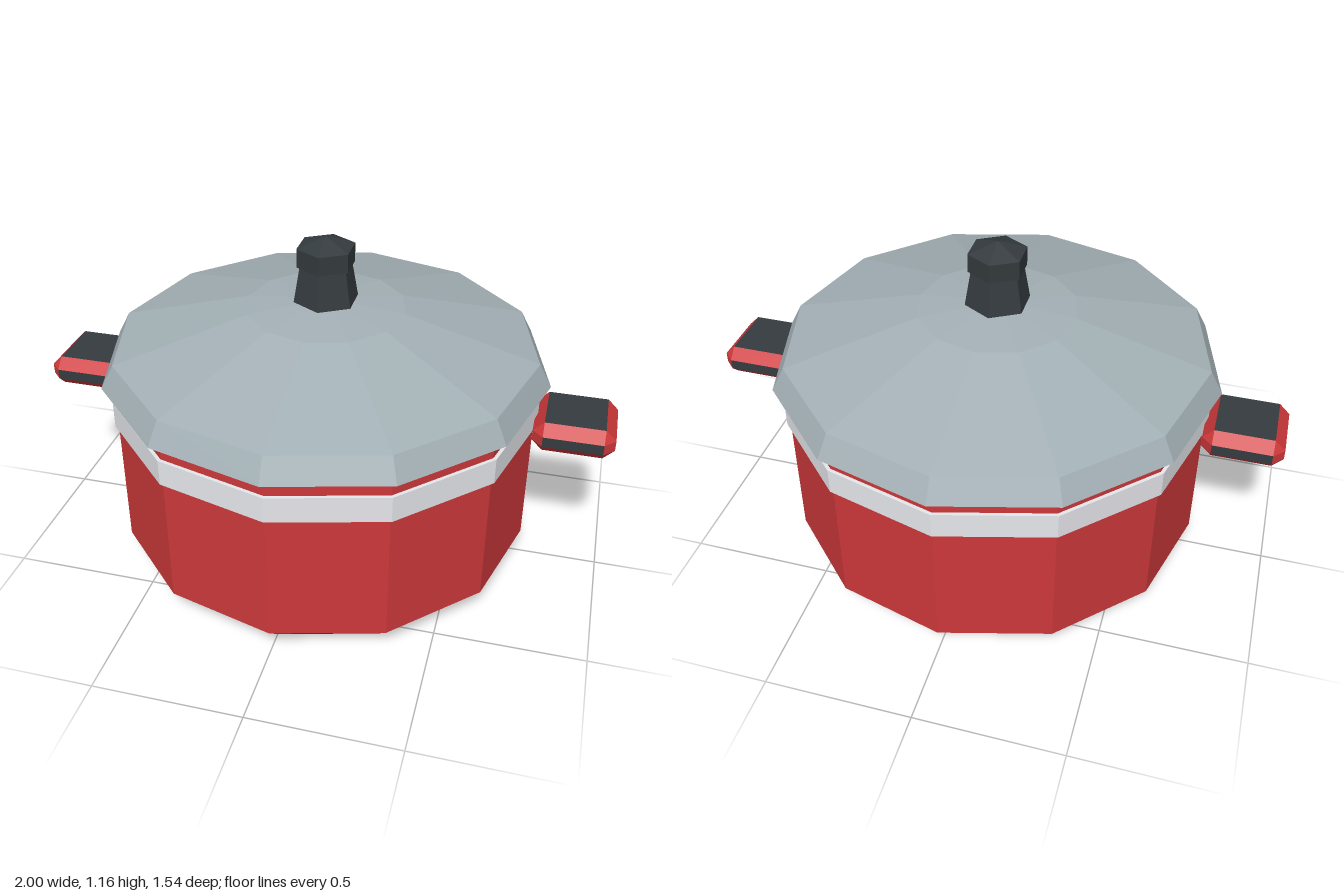
import * as THREE from 'three';
import { ConvexGeometry } from 'three/addons/geometries/ConvexGeometry.js';

const paint = (color) => new THREE.MeshStandardMaterial({ color, flatShading: true });
const red = paint(0xcc383a);
const steel = paint(0xa3b0b5);
const silver = paint(0xe6e7eb);
const dark = paint(0x343b3e);

// Faceted solid of revolution from [radius, height] pairs, listed bottom to top
function turned(name, profile, sides, material) {
  const points = profile.map(([r, y]) => new THREE.Vector2(r, y));
  const mesh = new THREE.Mesh(new THREE.LatheGeometry(points, sides), material);
  mesh.name = name;
  return mesh;
}

// Box with chamfered edges: flat faces in one material, chamfers in another
function chamferedBlock(name, size, chamfer, faceMaterial, edgeMaterial) {
  const half = size.map((s) => s / 2);
  const corners = [];
  for (const sx of [-1, 1]) for (const sy of [-1, 1]) for (const sz of [-1, 1]) {
    for (let axis = 0; axis < 3; axis++) {
      const c = [sx, sy, sz].map((s, i) => s * (half[i] - (i === axis ? 0 : chamfer)));
      corners.push(new THREE.Vector3(...c));
    }
  }
  const geometry = new ConvexGeometry(corners);
  const normal = geometry.attributes.normal;
  // Sort triangles by whether they face straight along an axis
  for (let i = 0; i < normal.count; i += 3) {
    const straight = Math.max(
      Math.abs(normal.getX(i)), Math.abs(normal.getY(i)), Math.abs(normal.getZ(i))) > 0.99;
    geometry.addGroup(i, 3, straight ? 0 : 1);
  }
  const mesh = new THREE.Mesh(geometry, [faceMaterial, edgeMaterial]);
  mesh.name = name;
  return mesh;
}

export function createModel() {
  const model = new THREE.Group();
  model.name = 'cookingPot';

  // Pot body with bevelled foot and flared rim
  model.add(turned('potBody',
    [[0, 0], [0.635, 0], [0.727, 0.09], [0.727, 0.685], [0.755, 0.708], [0, 0.708]], 12, red));

  // Metal band around the body
  model.add(turned('band',
    [[0.72, 0.55], [0.739, 0.55], [0.739, 0.64], [0.72, 0.64]], 12, silver));

  // Domed lid with sloping skirt
  model.add(turned('lid',
    [[0, 0.704], [0.77, 0.704], [0.727, 0.784], [0.272, 0.91], [0, 0.935]], 12, steel));

  // Six-sided knob: tapering stem and pointed head
  const knob = new THREE.Group();
  knob.name = 'knob';
  knob.add(turned('knobStem', [[0, 0.933], [0.112, 0.935], [0.09, 1.06]], 6, dark));
  knob.add(turned('knobHead', [[0, 1.06], [0.1, 1.06], [0.1, 1.125], [0, 1.16]], 6, dark));
  model.add(knob);

  // Side handles
  for (const side of [1, -1]) {
    const handle = chamferedBlock(side > 0 ? 'leftHandle' : 'rightHandle',
      [0.27, 0.108, 0.27], 0.036, dark, red);
    handle.position.set(side * 0.865, 0.572, 0);
    model.add(handle);
  }
  return model;
}
